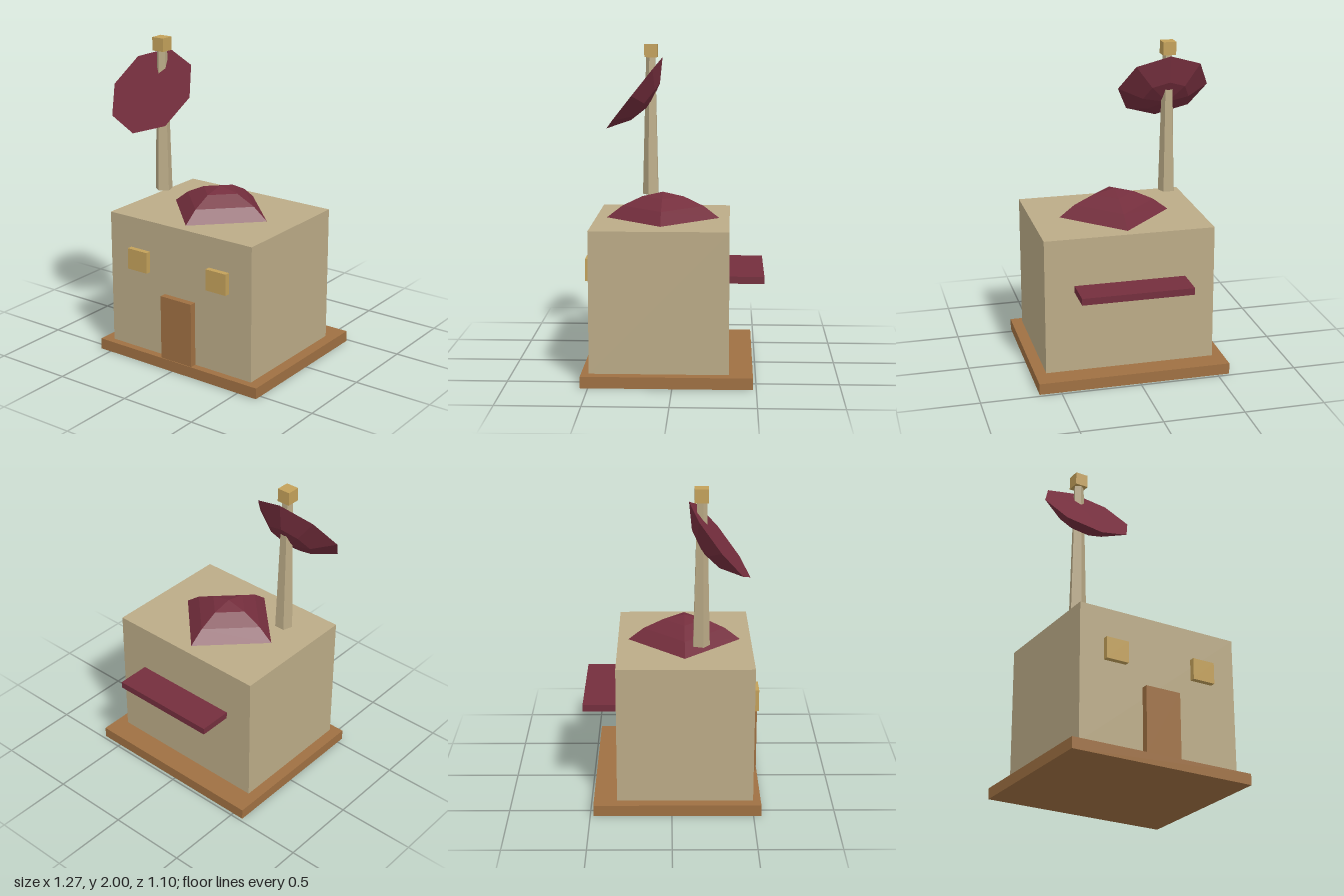
import * as THREE from 'three';

export function createModel() {
  const model = new THREE.Group();
  const paint = (name, color) => {
    const m = new THREE.MeshStandardMaterial({ color });
    m.name = name;
    return m;
  };
  const sand = paint('sand', 0xbbab87);
  const wood = paint('wood', 0x9f7042);
  const wine = paint('wine', 0x742e3d);
  const gold = paint('gold', 0xc3a15a);

  const add = (name, geometry, material, x, y, z) => {
    const mesh = new THREE.Mesh(geometry, material);
    mesh.name = name;
    mesh.position.set(x, y, z);
    model.add(mesh);
    return mesh;
  };
  // Box given by its lowest and highest corners
  const box = (name, material, a, b) =>
    add(name, new THREE.BoxGeometry(b[0] - a[0], b[1] - a[1], b[2] - a[2]), material,
      (a[0] + b[0]) / 2, (a[1] + b[1]) / 2, (a[2] + b[2]) / 2);
  // Give every face its own flat normal
  const faceted = (geometry) => {
    const g = geometry.toNonIndexed();
    g.computeVertexNormals();
    return g;
  };
  const lathe = (profile, sides) =>
    faceted(new THREE.LatheGeometry(profile.map(([r, y]) => new THREE.Vector2(r, y)), sides));

  // Building
  box('base', wood, [-0.575, 0, -0.48], [0.635, 0.07, 0.547]);
  box('walls', sand, [-0.505, 0.07, -0.337], [0.565, 0.932, 0.5]);
  box('door', wood, [-0.085, 0.07, 0.48], [0.148, 0.482, 0.542]);
  for (const x of [-0.272, 0.328]) {
    box('window', gold, [x - 0.074, 0.6, 0.48], [x + 0.074, 0.735, 0.534]);
  }
  box('backAwning', wine, [-0.32, 0.587, -0.548], [0.38, 0.63, -0.32]);

  // Four-sided roof dome
  add('roofDome', lathe([[0.352, 0], [0.255, 0.075], [0.13, 0.135], [0, 0.164]], 4),
    wine, 0.03, 0.932, 0.08);

  // Five-sided mast with a lamp on top
  const mastX = -0.342, mastZ = 0.174;
  add('mast', faceted(new THREE.CylinderGeometry(0.032, 0.0555, 0.9, 5)),
    sand, mastX, 1.48, mastZ);
  add('mastLamp', new THREE.BoxGeometry(0.083, 0.083, 0.083), gold, mastX, 1.9585, mastZ);

  // Tilted dish: flat face forward and up, bulge behind
  const dish = add('dish',
    lathe([[0, -0.127], [0.15, -0.092], [0.294, 0], [0, 0]], 8),
    wine, mastX, 1.686, 0.283);
  dish.rotation.x = 0.9;

  return model;
}
